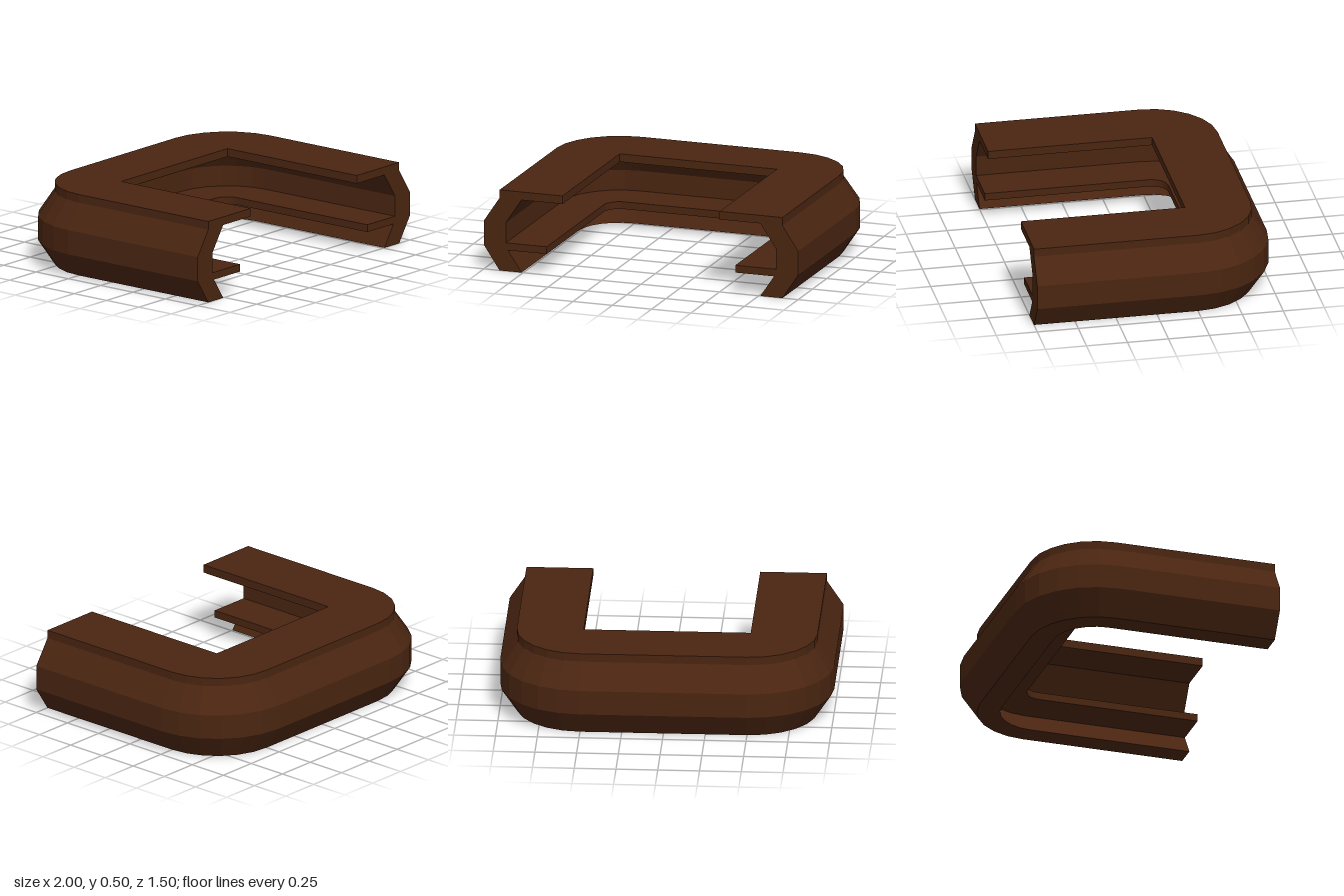
import * as THREE from 'three';

// Wall section as [inset from the outer edge, height], counter-clockwise
const SECTION = [
  [0.10, 0], [0, 0.15], [0, 0.30], [0.10, 0.45], [0.10, 0.50],   // outer face
  [0.50, 0.50], [0.50, 0.45],                                    // top slab
  [0.24, 0.45], [0.14, 0.30], [0.14, 0.175],                     // inner face
  [0.40, 0.175], [0.40, 0.13],                                   // shelf
  [0.153, 0.13], [0.24, 0],                                      // lower lip
];
const RADIUS = 0.5;
const STEPS = 6;

// Stations along the U: centre of turn and heading
function makeStations() {
  const stations = [{ x: 0.5, z: 0.75, a: 0 }];
  for (const [x, start] of [[0.5, 0], [-0.5, Math.PI / 2]]) {
    for (let i = 0; i <= STEPS; i++) {
      stations.push({ x, z: -0.25, a: start + (i / STEPS) * Math.PI / 2 });
    }
  }
  stations.push({ x: -0.5, z: 0.75, a: Math.PI });
  return stations;
}

// Sweeps the section through the stations and closes both ends
function sweepSection() {
  const rings = makeStations().map(({ x, z, a }) => SECTION.map(([inset, y]) => {
    const r = RADIUS - inset;
    return new THREE.Vector3(x + Math.cos(a) * r, y, z - Math.sin(a) * r);
  }));
  const positions = [];
  const area = new THREE.Triangle();
  const tri = (a, b, c) => {
    if (area.set(a, b, c).getArea() < 1e-8) return;
    for (const p of [a, b, c]) positions.push(p.x, p.y, p.z);
  };
  const n = SECTION.length;
  for (let i = 0; i < rings.length - 1; i++) {
    for (let j = 0; j < n; j++) {
      const k = (j + 1) % n;
      const a = rings[i][j], b = rings[i][k];
      const a2 = rings[i + 1][j], b2 = rings[i + 1][k];
      tri(a, a2, b2);
      tri(a, b2, b);
    }
  }
  const outline = SECTION.map(([inset, y]) => new THREE.Vector2(RADIUS - inset, y));
  const first = rings[0], last = rings[rings.length - 1];
  for (const [a, b, c] of THREE.ShapeUtils.triangulateShape(outline, [])) {
    tri(first[a], first[b], first[c]);
    tri(last[a], last[c], last[b]);
  }
  const geometry = new THREE.BufferGeometry();
  geometry.setAttribute('position', new THREE.Float32BufferAttribute(positions, 3));
  geometry.computeVertexNormals(); // unshared corners keep the facets flat
  return geometry;
}

export function createModel() {
  const group = new THREE.Group();
  group.name = 'curvedCounter';
  const darkWood = new THREE.MeshStandardMaterial({ color: 0x4a2511 });
  darkWood.name = 'darkWood';

  // Counter top, bulging wall and inner shelf in one sweep
  const counter = new THREE.Mesh(sweepSection(), darkWood);
  counter.name = 'counter';
  group.add(counter);
  return group;
}
